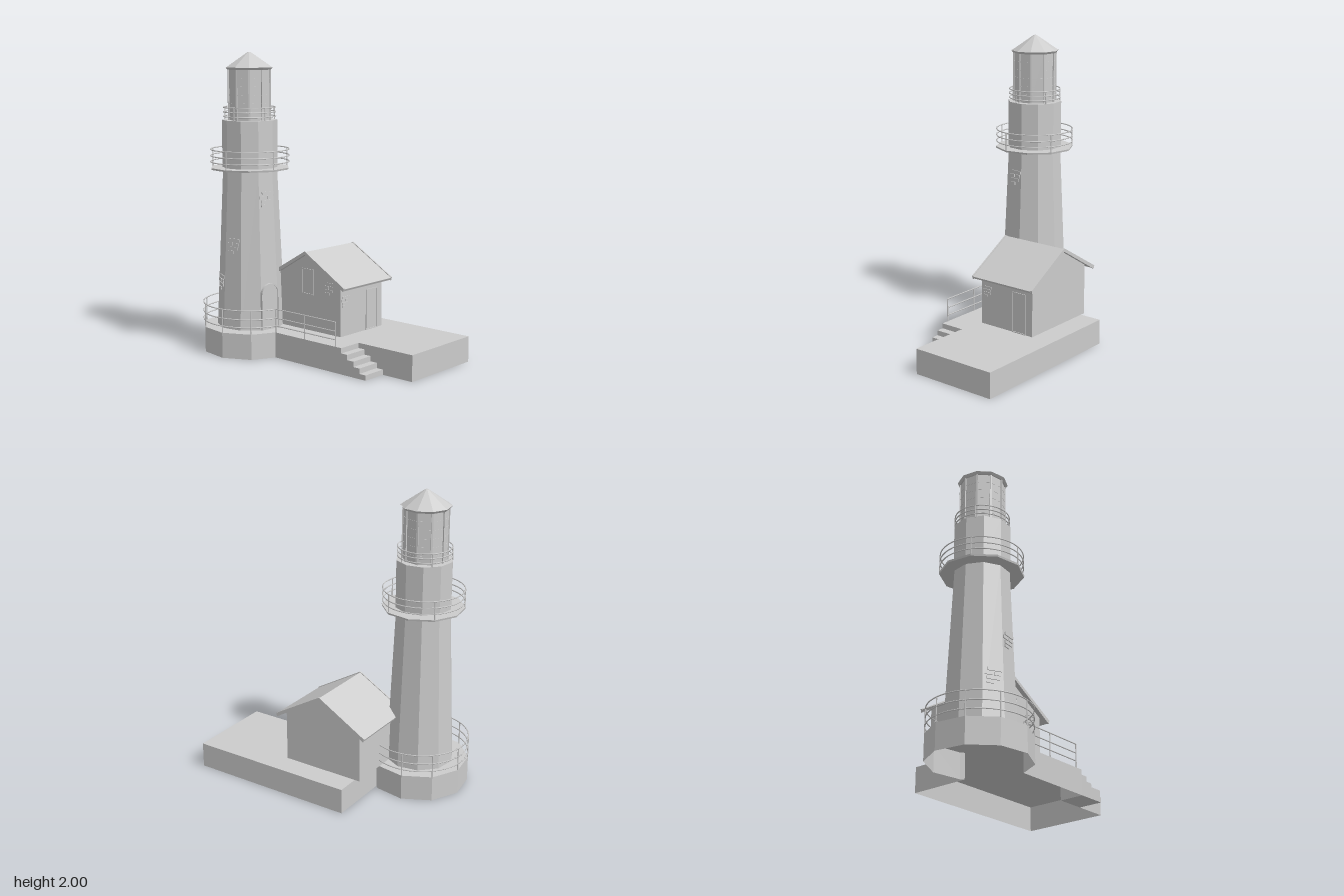
import * as THREE from 'three';

const mat = new THREE.MeshStandardMaterial({ color: 0xcccccc, flatShading: true, side: THREE.DoubleSide });
const smooth = new THREE.MeshStandardMaterial({ color: 0xcccccc });
const CX = -0.495, CZ = 0.18, G = 0.17; // tower axis and platform height
const rad = THREE.MathUtils.degToRad;

export function createModel() {
  const model = new THREE.Group();

  const add = (name, geo, parent = model, material = mat) => {
    const m = new THREE.Mesh(geo, material);
    m.name = name;
    parent.add(m);
    return m;
  };
  const box = (name, w, h, d, x, y, z, parent) => {
    const m = add(name, new THREE.BoxGeometry(w, h, d), parent);
    m.position.set(x, y, z);
    return m;
  };
  const shapeOf = (pts) => new THREE.Shape(pts.map((p) => new THREE.Vector2(p[0], p[1])));
  const extrude = (shape, depth) => new THREE.ExtrudeGeometry(shape, { depth, bevelEnabled: false, curveSegments: 8 });
  // point on a circle round the tower, angle in degrees from +z towards +x
  const ring = (r, deg) => [CX + r * Math.sin(rad(deg)), CZ + r * Math.cos(rad(deg))];

  // Platform: one outline, with walls and a top, open underneath
  const outline = [[-0.19, 0.26], [0.385, 0.26], [0.385, 0.09], [0.815, 0.09], [0.815, -0.51], [-0.325, -0.51], [-0.325, -0.09]];
  for (let k = 4; k <= 11; k++) outline.push(ring(0.325, 9 + 36 * k));
  const platform = new THREE.Group();
  platform.name = 'platform';
  model.add(platform);
  const pos = [], idx = [];
  outline.forEach(([x, z], i) => {
    const a = 2 * i, b = 2 * ((i + 1) % outline.length);
    pos.push(x, 0, z, x, G, z);
    idx.push(a, b, b + 1, a, b + 1, a + 1);
  });
  const walls = new THREE.BufferGeometry();
  walls.setAttribute('position', new THREE.Float32BufferAttribute(pos, 3));
  walls.setIndex(idx);
  walls.computeVertexNormals();
  add('platformWalls', walls, platform);
  const top = new THREE.ShapeGeometry(shapeOf(outline.map(([x, z]) => [x, -z])));
  top.rotateX(-Math.PI / 2).translate(0, G, 0);
  add('platformTop', top, platform);

  // Stairs going down towards +x
  const steps = [[0.385, 0]];
  for (let i = 0; i < 4; i++) {
    const y = G * (4 - i) / 5;
    steps.push([0.385 + i * 0.05, y], [0.435 + i * 0.05, y]);
  }
  steps.push([0.585, 0]);
  add('stairs', extrude(shapeOf(steps), 0.17)).position.z = 0.09;

  // Tower: ten-sided stack
  const drum = (name, r0, r1, y0, y1, phase = -9, open = false) => {
    const m = add(name, new THREE.CylinderGeometry(r1, r0, y1 - y0, 10, 1, open, rad(phase)));
    m.position.set(CX, (y0 + y1) / 2, CZ);
    return m;
  };
  drum('towerShaft', 0.228, 0.18, G, 1.235);
  drum('galleryDeck', 0.265, 0.268, 1.228, 1.24, 9);
  drum('watchRoom', 0.184, 0.184, 1.24, 1.555);
  drum('lantern', 0.142, 0.142, 1.555, 1.885, 9);
  for (let i = 1; i < 6; i++) {
    const y = 1.555 + i * 0.055;
    drum('lanternBar', 0.1435, 0.1435, y - 0.002, y + 0.002, 9);
  }
  for (let k = 0; k < 10; k++) {
    const [x, z] = ring(0.142, 9 + 36 * k);
    box('lanternPost', 0.012, 0.33, 0.012, x, 1.72, z).rotation.y = rad(9 + 36 * k);
  }
  drum('roofRim', 0.15, 0.162, 1.885, 1.9, 9);
  drum('lanternRoof', 0.158, 0.01, 1.9, 2, 9);

  // Railings: thin tubes on posts
  const rail = (points, parent, r = 0.004) => {
    const path = new THREE.CurvePath();
    for (let i = 1; i < points.length; i++) path.add(new THREE.LineCurve3(points[i - 1], points[i]));
    add('rail', new THREE.TubeGeometry(path, (points.length - 1) * 2, r, 5), parent, smooth);
  };
  const post = (x, z, y0, y1, parent) => {
    const m = add('railPost', new THREE.CylinderGeometry(0.004, 0.004, y1 - y0, 6), parent, smooth);
    m.position.set(x, (y0 + y1) / 2, z);
  };
  const arc = (r, y, from, to, n = 40) => Array.from({ length: n + 1 }, (_, i) => {
    const [x, z] = ring(r, from + (to - from) * i / n);
    return new THREE.Vector3(x, y, z);
  });
  const roundRailing = (name, r, y0, heights) => {
    const g = new THREE.Group();
    g.name = name;
    model.add(g);
    heights.forEach((y) => rail(arc(r, y, 0, 360), g));
    for (let k = 0; k < 5; k++) post(...ring(r, 9 + 72 * k), y0, heights[0], g);
  };
  roundRailing('galleryRailing', 0.262, 1.235, [1.36, 1.318, 1.278]);
  roundRailing('lanternRailing', 0.173, 1.55, [1.638, 1.608, 1.578]);

  const lower = new THREE.Group();
  lower.name = 'platformRailing';
  model.add(lower);
  for (const y of [0.328, 0.268, 0.215]) {
    rail([new THREE.Vector3(0.335, y, 0.257), ...arc(0.322, y, 76, -205)], lower);
  }
  for (let k = -5; k <= 1; k++) post(...ring(0.322, 9 + 36 * k), G, 0.328, lower);
  for (const x of [0.335, 0.07, -0.185]) post(x, 0.257, G, 0.328, lower);

  // Arched tower door with a frame
  const arch = (w, h) => {
    const s = new THREE.Shape();
    s.moveTo(-w, 0);
    s.lineTo(w, 0);
    s.lineTo(w, h);
    s.absarc(0, h, w, 0, Math.PI, false);
    s.lineTo(-w, 0);
    return s;
  };
  const door = new THREE.Group();
  door.name = 'towerDoor';
  door.position.set(CX, G, CZ);
  door.rotation.y = rad(81);
  model.add(door);
  const frame = arch(0.072, 0.238);
  frame.holes.push(arch(0.06, 0.238));
  add('doorFrame', extrude(frame, 0.06), door).position.z = 0.165;
  add('doorPanel', extrude(arch(0.061, 0.238), 0.05), door).position.z = 0.168;

  // House with its gable to the front
  const house = new THREE.Group();
  house.name = 'house';
  house.position.x = -0.075;
  model.add(house);
  const gable = shapeOf([[-0.285, G], [0.285, G], [0.285, 0.515], [0, 0.685], [-0.285, 0.515]]);
  add('houseWalls', extrude(gable, 0.42), house).position.z = -0.355;
  const chevron = (t, lift) => shapeOf([[-0.342, 0.5 + lift], [-0.335, 0.5 - t], [0, 0.7 - t],
    [0.335, 0.5 - t], [0.342, 0.5 + lift], [0, 0.7 + lift]]);
  add('houseRoof', extrude(chevron(0.014, 0), 0.48), house).position.z = -0.385;
  for (const z of [-0.394, 0.09]) add('bargeBoard', extrude(chevron(0.018, 0.005), 0.01), house).position.z = z;

  // Window in the gable, door in the +x wall
  const rectFrame = (name, w, h, t) => {
    const s = shapeOf([[-w / 2, 0], [w / 2, 0], [w / 2, h], [-w / 2, h]]);
    s.holes.push(shapeOf([[-w / 2 + t, t], [w / 2 - t, t], [w / 2 - t, h - t], [-w / 2 + t, h - t]]));
    return add(name, extrude(s, 0.01), house);
  };
  rectFrame('windowFrame', 0.106, 0.172, 0.006).position.set(0, 0.412, 0.06);
  const sideDoor = rectFrame('sideDoorFrame', 0.112, 0.275, 0.006);
  sideDoor.rotation.y = Math.PI / 2;
  sideDoor.position.set(0.28, G, -0.245);

  // Patches of exposed bricks: columns are sideways offset, height and length
  const layout = [[0.01, 0.04, 0.09], [-0.03, 0.012, 0.05], [0.025, 0.012, 0.04], [0, -0.016, 0.08], [-0.02, -0.042, 0.045]];
  const bricks = (x, y, z, deg, lean, scale = 1) => {
    const g = new THREE.Group();
    g.name = 'brickPatch';
    g.position.set(x, y, z);
    g.rotation.set(-lean, rad(deg), 0, 'YXZ');
    g.scale.set(scale, scale, 1);
    model.add(g);
    layout.forEach(([u, v, w]) => box('brick', w, 0.02, 0.012, u, v, 0, g));
  };
  const onTower = (deg, y) => {
    const r = (0.228 - 0.045 * (y - G)) * Math.cos(rad(18));
    const [x, z] = ring(r, deg);
    bricks(x, y, z, deg, 0.043);
  };
  onTower(9, 0.73);
  onTower(-27, 0.47);
  onTower(81, 1.04);
  bricks(0.11, 0.475, 0.063, 0, 0, 0.8);
  bricks(0.208, 0.4, 0.02, 90, 0, 0.7);

  return model;
}
